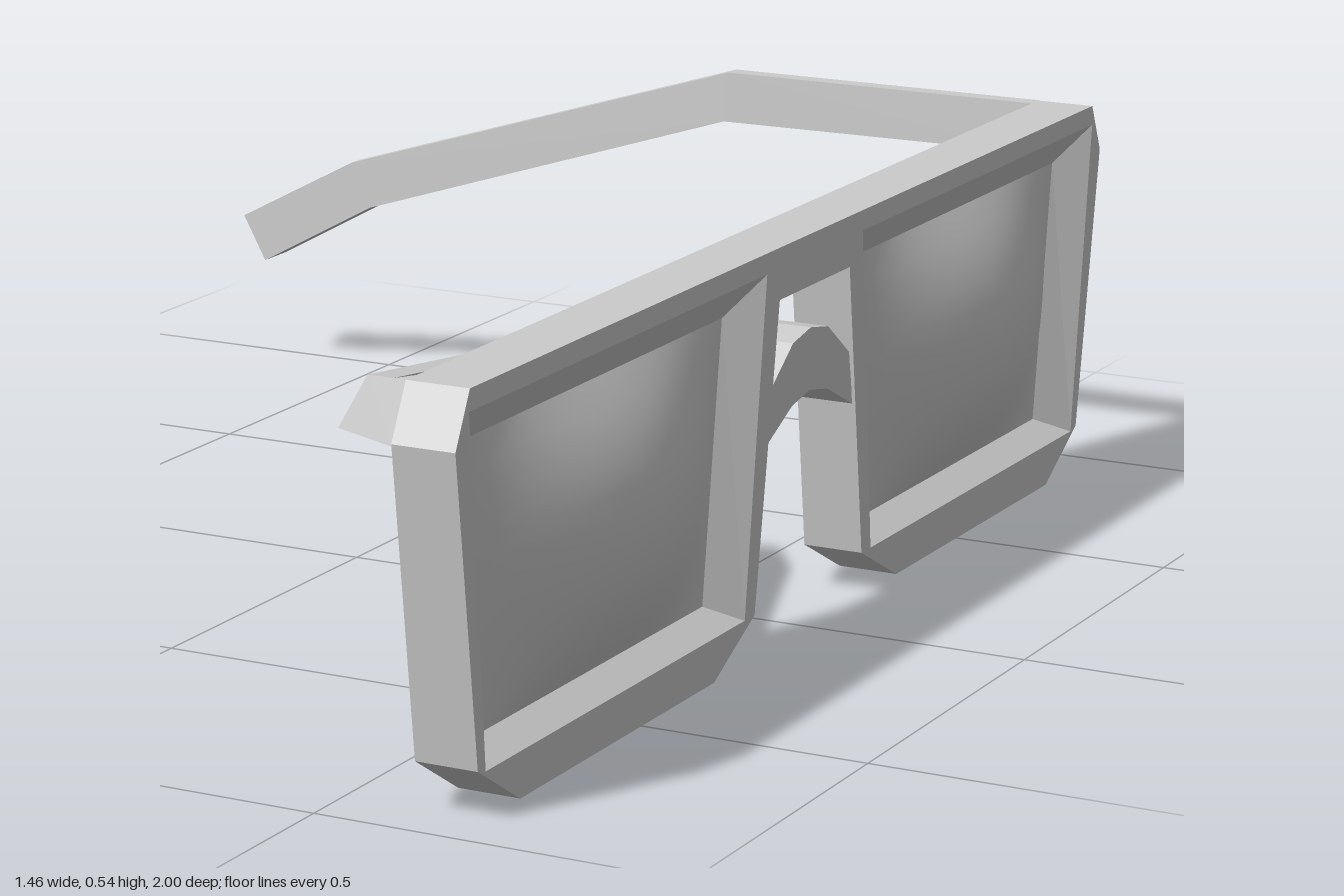
import * as THREE from 'three';

const material = new THREE.MeshStandardMaterial({ color: 0xcccccc, side: THREE.DoubleSide });
const v3 = (x, y, z) => new THREE.Vector3(x, y, z);
const BACK = 0.605, DEPTH = 0.085, RECESS = 0.045;

// Flat-shaded skin through closed rings of points, optionally capped at both ends
function loft(rings, capped = false) {
  const pts = [];
  for (let r = 0; r < rings.length - 1; r++) {
    const p = rings[r], q = rings[r + 1], n = p.length;
    for (let i = 0; i < n; i++) {
      const j = (i + 1) % n;
      pts.push(p[i], p[j], q[j], p[i], q[j], q[i]);
    }
  }
  if (capped) {
    const a = rings[0], b = rings[rings.length - 1];
    for (let i = 1; i < a.length - 1; i++) pts.push(a[0], a[i + 1], a[i], b[0], b[i], b[i + 1]);
  }
  const geometry = new THREE.BufferGeometry().setFromPoints(pts);
  geometry.computeVertexNormals();
  return geometry;
}

function add(parent, name, geometry) {
  const mesh = new THREE.Mesh(geometry, material);
  mesh.name = name;
  parent.add(mesh);
  return mesh;
}

const toRing = (points, z) => points.map(([x, y]) => v3(x, y, z));
const toPath = (points) => points.map(([x, y]) => new THREE.Vector2(x, y));
const mirror = (points) => points.map(([x, y]) => [-x, y]).reverse();

// Half outline of the front, counter-clockwise, from gap to top corner
const halfOutline = [[0.11, 0.47], [0.17, 0.06], [0.29, 0], [0.83, 0], [0.94, 0.065], [1, 0.47], [0.965, 0.54]];
const outline = [...halfOutline, ...mirror(halfOutline)];
// Lens openings at the front face and at the recessed seat
const wide = [[0.2, 0.06], [0.92, 0.06], [0.967, 0.512], [0.15, 0.512]];
const narrow = [[0.245, 0.085], [0.87, 0.085], [0.915, 0.46], [0.2, 0.46]];

function face(hole) {
  const shape = new THREE.Shape(toPath(outline));
  shape.holes.push(new THREE.Path(toPath(hole)), new THREE.Path(toPath(mirror(hole))));
  return new THREE.ShapeGeometry(shape);
}

function lensGeometry(side) {
  const geometry = new THREE.PlaneGeometry(2, 2, 14, 12);
  const pos = geometry.attributes.position;
  for (let i = 0; i < pos.count; i++) {
    const u = pos.getX(i), v = pos.getY(i);
    const half = THREE.MathUtils.lerp(0.3125, 0.3575, (v + 1) / 2);
    pos.setXYZ(i, side * 0.5575 + u * half, 0.2725 + v * 0.1875,
      RECESS + 0.075 * (1 - u * u) * (1 - v * v));
  }
  geometry.computeVertexNormals();
  return geometry;
}

function createFront() {
  const front = new THREE.Group();
  front.name = 'front';
  add(front, 'frameFrontFace', face(wide)).position.z = DEPTH;
  add(front, 'frameBackFace', face(narrow).rotateY(Math.PI));
  add(front, 'frameOuterEdge', loft([toRing(outline, 0), toRing(outline, DEPTH)]));
  for (const side of [1, -1]) {
    const name = side > 0 ? 'right' : 'left';
    const [w, n] = side > 0 ? [wide, narrow] : [mirror(wide), mirror(narrow)];
    add(front, name + 'LensRim', loft([toRing(w, DEPTH), toRing(n, RECESS), toRing(n, 0)]));
    add(front, name + 'Lens', lensGeometry(side));
  }
  // Arched nose bridge below the top bar
  const top = [[0.125, 0.35], [0.055, 0.4], [0, 0.41]];
  const bottom = [[0, 0.325], [0.055, 0.315], [0.14, 0.275]];
  const arch = [...top, ...mirror(top).slice(1), ...mirror(bottom), ...bottom.slice(1)];
  const bridge = new THREE.ExtrudeGeometry(new THREE.Shape(toPath(arch)), { depth: 0.075, bevelEnabled: false });
  add(front, 'noseBridge', bridge).position.z = 0.005;
  // Turn the front to look along +x
  front.rotation.y = Math.PI / 2;
  front.position.x = BACK;
  return front;
}

// Open temple arm: [top x, top y, bottom x, bottom y] at each bend
function openTemple() {
  const stations = [
    [0.607, 0.54, 0.607, 0.467], [0.115, 0.54, 0.11, 0.465],
    [-0.535, 0.335, -0.5, 0.267], [-0.73, 0.23, -0.69, 0.162],
  ];
  return loft(stations.map(([tx, ty, bx, by]) => [
    v3(bx, by, -1), v3(bx, by, -0.937), v3(tx, ty, -0.94), v3(tx, ty, -0.968),
  ]), true);
}

// Folded temple arm: hinge corner, then [top z, top y, bottom z, bottom y]
function foldedTemple() {
  const hinge = [v3(0.607, 0.467, 0.935), v3(0.607, 0.467, 1), v3(0.607, 0.54, 0.965), v3(0.607, 0.54, 0.935)];
  const stations = [
    [0.93, 0.53, 0.94, 0.463], [0.52, 0.475, 0.53, 0.402],
    [-0.1, 0.185, -0.06, 0.125], [-0.295, 0.045, -0.25, 0],
  ];
  const outerX = (z) => 0.5 - 0.0714 * (0.94 - z);
  return loft([hinge, ...stations.map(([tz, ty, bz, by]) => [
    v3(outerX(bz) + 0.07, by, bz), v3(outerX(bz), by, bz),
    v3(outerX(tz) + 0.035, ty, tz), v3(outerX(tz) + 0.07, ty, tz),
  ])], true);
}

export function createModel() {
  const model = new THREE.Group();
  model.name = 'sunglasses';
  model.add(createFront());
  add(model, 'openTemple', openTemple());
  add(model, 'foldedTemple', foldedTemple());
  return model;
}
